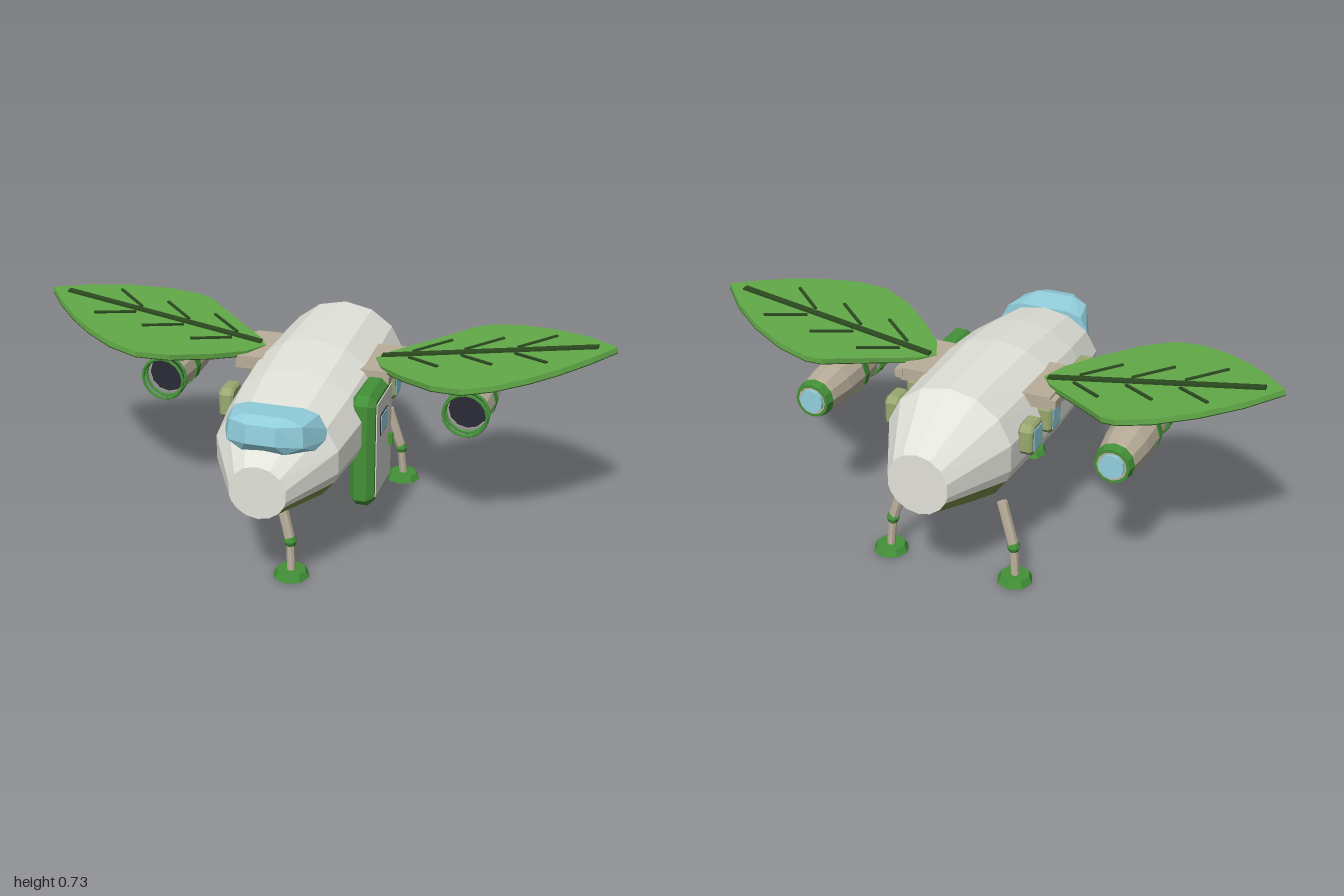
import * as THREE from 'three';
import { ConvexGeometry } from 'three/addons/geometries/ConvexGeometry.js';

const paint = (color) => new THREE.MeshStandardMaterial({ color, flatShading: true, side: THREE.DoubleSide });
const M = {
  hull: paint(0xe2e3da), belly: paint(0x7c9048), green: paint(0x439038), leaf: paint(0x62aa48),
  dark: paint(0x2c4a20), beige: paint(0xb9ae9a), glass: paint(0x92d0de), intake: paint(0x2b2b36),
  door: paint(0xd6d8d0), frame: paint(0x98a870),
};

function add(parent, name, geo, mat, x = 0, y = 0, z = 0) {
  const m = new THREE.Mesh(geo, mat);
  m.name = name;
  m.position.set(x, y, z);
  parent.add(m);
  return m;
}

const box = (parent, name, mat, w, h, d, x, y, z) => add(parent, name, new THREE.BoxGeometry(w, h, d), mat, x, y, z);

// Straight rod between two points
function rod(parent, name, mat, a, b, r) {
  const p = new THREE.Vector3(...a), q = new THREE.Vector3(...b), d = q.clone().sub(p);
  const m = add(parent, name, new THREE.CylinderGeometry(r, r, d.length(), 8), mat);
  m.position.copy(p).add(q).multiplyScalar(0.5);
  m.quaternion.setFromUnitVectors(new THREE.Vector3(0, 1, 0), d.normalize());
  return m;
}

// Rectangle with cut corners, extruded with a chamfer, facing +x
function chamferedPanel(w, h, depth, bevel) {
  const a = w / 2 - bevel, b = h / 2 - bevel, c = 0.015;
  const s = new THREE.Shape([[-a + c, -b], [a - c, -b], [a, -b + c], [a, b - c], [a - c, b], [-a + c, b], [-a, b - c], [-a, -b + c]]
    .map(([x, y]) => new THREE.Vector2(x, y)));
  const g = new THREE.ExtrudeGeometry(s, { depth: depth - 2 * bevel, bevelEnabled: true, bevelSize: bevel, bevelThickness: bevel, bevelSegments: 1 });
  return g.translate(0, 0, -depth / 2 + bevel).rotateY(Math.PI / 2);
}

// Fuselage sections: z, centre height, half width, half height
const SECTIONS = [
  [0.62, 0.397, 0.095, 0.09], [0.42, 0.437, 0.21, 0.174], [0.22, 0.452, 0.235, 0.194],
  [0, 0.463, 0.243, 0.207], [-0.385, 0.465, 0.222, 0.206], [-0.62, 0.446, 0.105, 0.106],
];
const UPPER = [-115, -103, -77, -51, -26, 0, 26, 51, 77, 103, 115];
const LOWER = [115, 134, 157, 180, 203, 226, 245];

function skin(angles, caps) {
  const pos = [];
  const pt = ([z, cy, rx, ry], deg) => {
    const t = THREE.MathUtils.degToRad(deg);
    return [rx * Math.sin(t), cy + ry * Math.cos(t), z];
  };
  for (let i = 0; i < SECTIONS.length - 1; i++) {
    for (let j = 0; j < angles.length - 1; j++) {
      const a = pt(SECTIONS[i], angles[j]), b = pt(SECTIONS[i], angles[j + 1]);
      const c = pt(SECTIONS[i + 1], angles[j + 1]), d = pt(SECTIONS[i + 1], angles[j]);
      pos.push(...a, ...b, ...c, ...a, ...c, ...d);
    }
  }
  const F = SECTIONS[0], B = SECTIONS[SECTIONS.length - 1];
  for (let j = 0; j < (caps ? caps.length - 1 : 0); j++) {
    pos.push(0, F[1], F[0], ...pt(F, caps[j + 1]), ...pt(F, caps[j]));
    pos.push(0, B[1], B[0], ...pt(B, caps[j]), ...pt(B, caps[j + 1]));
  }
  const g = new THREE.BufferGeometry();
  g.setAttribute('position', new THREE.Float32BufferAttribute(pos, 3));
  g.computeVertexNormals();
  return g;
}

// Leaf wing with midrib and side veins, root at the local origin, growing along +x
function leafWing() {
  const g = new THREE.Group();
  g.name = 'leafWing';
  const outline = [[0, -0.065], [0.04, -0.12], [0.14, -0.2], [0.25, -0.29], [0.295, -0.33], [0.35, -0.345], [0.46, -0.325], [0.59, -0.265],
    [0.71, -0.18], [0.81, -0.077], [0.74, 0.01], [0.65, 0.1], [0.56, 0.17], [0.46, 0.225], [0.355, 0.247], [0.25, 0.205], [0.13, 0.11], [0.04, 0.02]];
  const shape = new THREE.Shape(outline.map(([x, z]) => new THREE.Vector2(x, -z)));
  const plate = (depth) => new THREE.ExtrudeGeometry(shape, { depth, bevelEnabled: false }).rotateX(-Math.PI / 2);
  add(g, 'leafBlade', plate(0.018), M.leaf);
  add(g, 'leafUnderside', plate(0.003), M.dark, 0, -0.003, 0);
  box(g, 'midrib', M.dark, 0.73, 0.01, 0.024, 0.385, 0.021, -0.077);
  for (const x of [0.12, 0.3, 0.48]) {
    for (const s of [-1, 1]) {
      const vein = box(g, 'vein', M.dark, 0.15, 0.008, 0.01, x + 0.06, 0.02, -0.077 + s * 0.075);
      vein.rotation.y = -s * 0.67;
    }
  }
  g.position.set(0.2, 0.585, 0);
  g.rotation.z = 0.157;
  return g;
}

// Engine pod along z, with loose hoops before the intake
function engine() {
  const g = new THREE.Group();
  g.name = 'engine';
  const lathe = (pts) => new THREE.LatheGeometry(pts.map(([r, z]) => new THREE.Vector2(r, z)), 12).rotateX(Math.PI / 2);
  add(g, 'enginePod', lathe([[0, -0.33], [0.056, -0.33], [0.066, -0.29], [0.077, -0.2], [0.079, -0.1], [0.07, 0.008], [0.06, 0.008], [0.06, -0.02]]), M.beige);
  const band = (z0, r0, z1, r1) => add(g, 'engineBand', lathe([[0.05, z0], [r0, z0], [r1, z1], [0.05, z1]]), M.green);
  band(-0.102, 0.082, -0.068, 0.08);
  band(-0.336, 0.06, -0.305, 0.067);
  add(g, 'intakeDisc', new THREE.CylinderGeometry(0.066, 0.066, 0.006, 12).rotateX(Math.PI / 2), M.intake, 0, 0, 0.008);
  add(g, 'exhaustGlass', new THREE.CylinderGeometry(0.042, 0.042, 0.012, 12).rotateX(Math.PI / 2), M.glass, 0, 0, -0.337);
  for (const z of [0.03, 0.06]) add(g, 'intakeHoop', new THREE.TorusGeometry(0.074, 0.006, 6, 16), M.green, 0, 0, z);
  rod(g, 'pylon', M.beige, [0, 0.07, -0.065], [0, 0.16, -0.065], 0.014);
  g.position.set(0.535, 0.485, 0);
  return g;
}

// Landing leg: slanted strut, knee ring, lower strut and foot
function leg(top, kneeX, footX, footZ) {
  const g = new THREE.Group();
  g.name = 'landingLeg';
  const knee = [kneeX, 0.125, top[2] + (footZ - top[2]) * 0.65];
  rod(g, 'upperStrut', M.beige, top, knee, 0.018);
  rod(g, 'lowerStrut', M.beige, knee, [footX, 0.02, footZ], 0.014);
  add(g, 'knee', new THREE.SphereGeometry(0.023, 8, 4), M.green, ...knee);
  add(g, 'foot', new THREE.CylinderGeometry(0.05, 0.062, 0.023, 8), M.green, footX, 0.0115, footZ);
  return g;
}

function sideWindow(parent, side, z) {
  const g = new THREE.Group();
  g.name = 'sideWindow';
  add(g, 'windowFrame', chamferedPanel(0.1, 0.11, 0.05, 0.008), M.frame);
  box(g, 'windowGlass', M.glass, 0.008, 0.075, 0.065, 0.024, 0, 0);
  g.position.set(side * 0.238, 0.5, z);
  if (side < 0) g.rotation.y = Math.PI;
  parent.add(g);
}

export function createModel() {
  const root = new THREE.Group();
  root.name = 'leafPlane';

  add(root, 'hull', skin(UPPER, [...UPPER, ...LOWER.slice(1)]), M.hull);
  add(root, 'belly', skin(LOWER), M.belly);

  // Cockpit canopy
  const canopy = [[0.05, 0.607, 0.58], [0.05, 0.545, 0.587], [0.12, 0.597, 0.53], [0.125, 0.53, 0.54], [0.14, 0.595, 0.42], [0.165, 0.55, 0.42],
    [0.17, 0.515, 0.43], [0.07, 0.51, 0.56], [0.15, 0.493, 0.47], [0.07, 0.62, 0.53], [0.09, 0.61, 0.42], [0.12, 0.5, 0.42]]
    .flatMap(([x, y, z]) => [new THREE.Vector3(x, y, z), new THREE.Vector3(-x, y, z)]);
  add(root, 'canopy', new ConvexGeometry(canopy), M.glass);

  // Wings, mounts and engines, mirrored
  for (const side of [1, -1]) {
    const g = new THREE.Group();
    g.name = side > 0 ? 'leftWing' : 'rightWing';
    g.add(leafWing(), engine());
    box(g, 'wingMount', M.beige, 0.1, 0.045, 0.24, 0.22, 0.578, -0.075);
    box(g, 'wingMountBlock', M.beige, 0.03, 0.03, 0.1, 0.275, 0.578, -0.147);
    g.scale.x = side;
    root.add(g);
  }

  // Door on the left side
  const door = new THREE.Group();
  door.name = 'door';
  add(door, 'doorFrame', chamferedPanel(0.26, 0.4, 0.085, 0.022), M.green);
  box(door, 'doorPanel', M.door, 0.01, 0.335, 0.195, 0.041, 0, -0.002);
  box(door, 'doorWindowFrame', M.intake, 0.01, 0.074, 0.09, 0.043, 0.077, 0.01);
  box(door, 'doorWindow', M.glass, 0.01, 0.064, 0.08, 0.045, 0.077, 0.01);
  box(door, 'doorHandle', M.green, 0.018, 0.042, 0.01, 0.053, -0.022, -0.063);
  door.position.set(0.225, 0.378, 0.1);
  root.add(door);

  for (const z of [-0.28, -0.12]) for (const side of [1, -1]) sideWindow(root, side, z);
  sideWindow(root, -1, 0.19);

  // Landing gear
  root.add(leg([0, 0.28, 0.4], 0.04, 0.045, 0.42));
  for (const s of [1, -1]) root.add(leg([s * 0.175, 0.28, -0.362], s * 0.222, s * 0.23, -0.38));
  return root;
}
